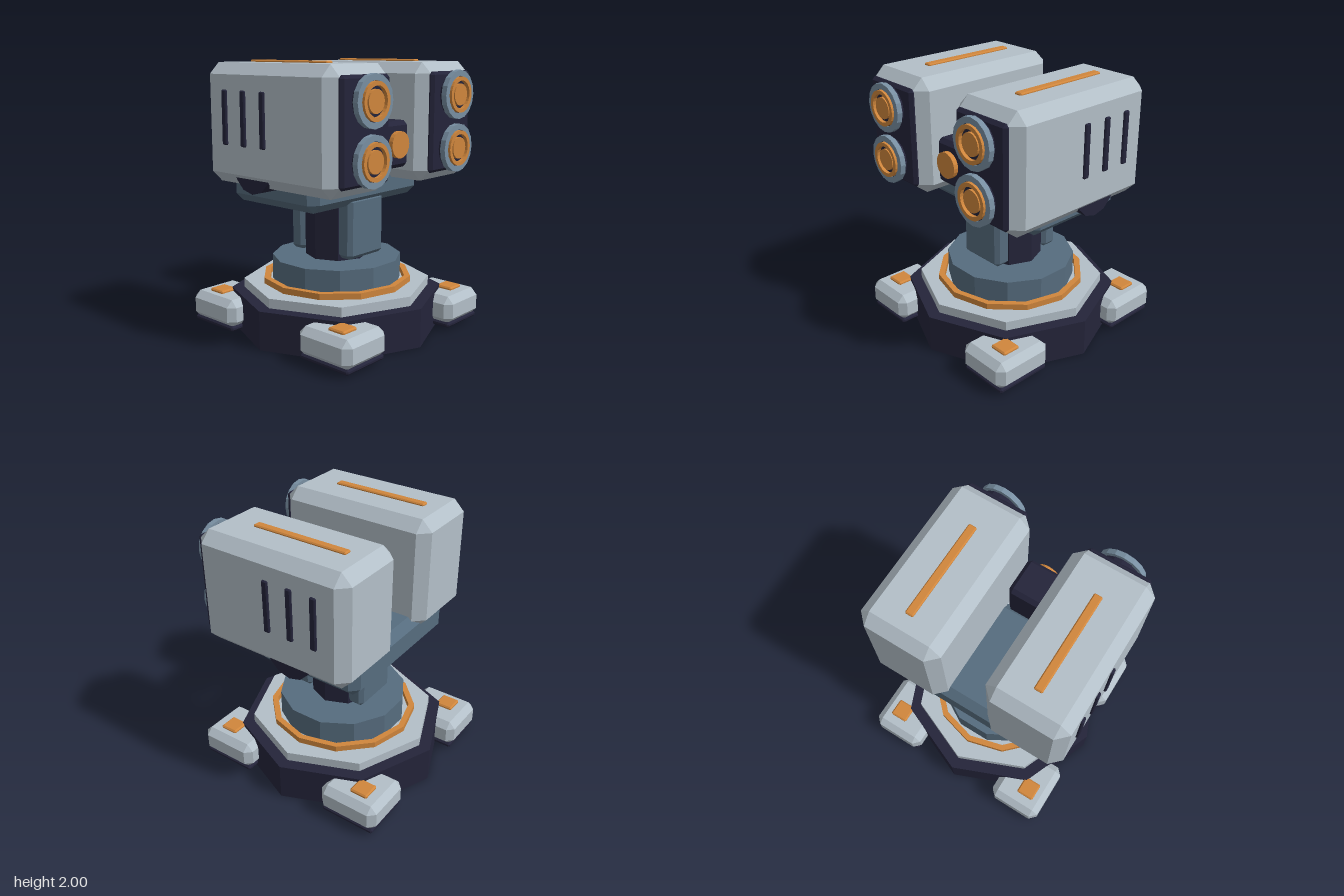
import * as THREE from 'three';
import { ConvexGeometry } from 'three/addons/geometries/ConvexGeometry.js';

const material = (name, color) => {
  const m = new THREE.MeshStandardMaterial({ color });
  m.name = name;
  return m;
};

// Facet a geometry so every face has its own normal
const flat = (geo) => {
  const g = geo.index ? geo.toNonIndexed() : geo;
  g.computeVertexNormals();
  return g;
};

// Box with all edges cut at 45 degrees, given by its min and max corners
function chamferBox(min, max, c) {
  const lo = new THREE.Vector3(...min), hi = new THREE.Vector3(...max);
  const mid = lo.clone().add(hi).multiplyScalar(0.5);
  const h = hi.sub(lo).multiplyScalar(0.5);
  const pts = [];
  for (const x of [-1, 1]) for (const y of [-1, 1]) for (const z of [-1, 1]) {
    pts.push(new THREE.Vector3(x * h.x, y * (h.y - c), z * (h.z - c)));
    pts.push(new THREE.Vector3(x * (h.x - c), y * h.y, z * (h.z - c)));
    pts.push(new THREE.Vector3(x * (h.x - c), y * (h.y - c), z * h.z));
  }
  return new ConvexGeometry(pts).translate(mid.x, mid.y, mid.z);
}

// Upright faceted cylinder from y0 to y1
const drum = (r, y0, y1, sides, turn = 0) =>
  flat(new THREE.CylinderGeometry(r, r, y1 - y0, sides, 1, false, turn).translate(0, (y0 + y1) / 2, 0));

// Upright faceted ring with a rectangular section
const ring = (ri, ro, y0, y1, sides) => flat(new THREE.LatheGeometry(
  [[ri, y0], [ro, y0], [ro, y1], [ri, y1], [ri, y0]].map((p) => new THREE.Vector2(...p)), sides));

export function createModel() {
  const model = new THREE.Group();
  model.name = 'twinPodTurret';
  const light = material('light grey armour', 0xb3bfc8);
  const dark = material('dark navy', 0x24243a);
  const blue = material('slate blue', 0x566c7e);
  const steel = material('steel blue', 0x788fa2);
  const orange = material('orange', 0xd0863c);

  const add = (name, geo, mat, parent = model) => {
    const mesh = new THREE.Mesh(geo, mat);
    mesh.name = name;
    parent.add(mesh);
    return mesh;
  };

  // Stepped base
  add('basePlate', drum(0.8, 0, 0.285, 8), dark);
  add('baseDeck', drum(0.707, 0.28, 0.355, 8), light);
  add('baseRing', ring(0.52, 0.565, 0.35, 0.4, 12), orange);
  add('turntable', drum(0.487, 0.35, 0.545, 12, Math.PI / 12), blue);

  // Four feet at the corners
  for (const sx of [-1, 1]) for (const sz of [-1, 1]) {
    const foot = new THREE.Group();
    foot.name = 'foot';
    foot.position.set(sx * 0.565, 0, sz * 0.567);
    add('footPad', chamferBox([-0.235, 0.05, -0.21], [0.235, 0.26, 0.21], 0.05), light, foot);
    add('footSole', chamferBox([-0.215, 0.027, -0.19], [0.215, 0.065, 0.19], 0.012), dark, foot);
    const cap = add('footCap', chamferBox([-0.07, 0.25, -0.07], [0.07, 0.28, 0.07], 0.01), orange, foot);
    cap.position.set(sx * 0.048, 0, sz * 0.048);
    model.add(foot);
  }

  // Column with a strut on each side
  add('column', drum(0.235, 0.54, 1.0, 8), dark);
  for (const s of [-1, 1]) {
    const strut = add('columnStrut', chamferBox([-0.068, 0.575, -0.19], [0.068, 1.03, 0.19], 0.03), blue);
    strut.position.x = s * 0.238;
  }

  // Cradle carrying the pods
  add('cradle', chamferBox([-0.52, 0.975, -0.59], [0.328, 1.25, 0.59], 0.062), blue);

  // Sensor between the pods
  add('sensorHousing', chamferBox([0.265, 1.255, -0.14], [0.565, 1.585, 0.14], 0.03), dark);
  const lens = add('sensorLens', drum(0.095, 0, 0.045, 20), orange);
  lens.rotation.z = -Math.PI / 2;
  lens.position.set(0.555, 1.425, 0);

  // Mirrored launcher pods
  for (const s of [-1, 1]) {
    const pod = new THREE.Group();
    pod.name = s > 0 ? 'frontPod' : 'rearPod';
    pod.position.z = s * 0.472;
    model.add(pod);
    add('podBody', chamferBox([-0.565, 1.14, -0.307], [0.665, 1.985, 0.307], 0.08), light, pod);
    add('podMuzzlePlate', chamferBox([0.64, 1.205, -0.238], [0.692, 1.92, 0.238], 0.022), dark, pod);
    add('podTopStripe', chamferBox([-0.375, 1.97, -0.031], [0.372, 2, 0.031], 0.008), orange, pod);

    // Vent slits on the outer side
    for (const x of [-0.33, -0.14, 0.05]) {
      const vent = add('podVent', chamferBox([-0.023, 1.42, -0.02], [0.023, 1.8, 0.02], 0.007), dark, pod);
      vent.position.set(x, 0, s * 0.304);
    }

    // Pivot drum under the outer edge
    const pivot = add('podPivot', drum(0.183, -0.18, 0.18, 12), dark, pod);
    pivot.rotation.x = Math.PI / 2;
    pivot.position.set(-0.095, 1.275, s * 0.103);

    // Launch tubes, pointing along +x
    for (const y of [1.373, 1.755]) {
      const tube = new THREE.Group();
      tube.name = 'launchTube';
      tube.rotation.z = -Math.PI / 2;
      tube.position.set(0.68, y, 0);
      add('tubeHub', drum(0.15, 0, 0.068, 16), dark, tube);
      add('tubeCollar', ring(0.133, 0.175, 0.04, 0.08, 16), steel, tube);
      add('tubeRim', ring(0.1, 0.128, 0.06, 0.095, 24), orange, tube);
      add('warheadTip', drum(0.078, 0.06, 0.088, 24), orange, tube);
      pod.add(tube);
    }
  }
  return model;
}
